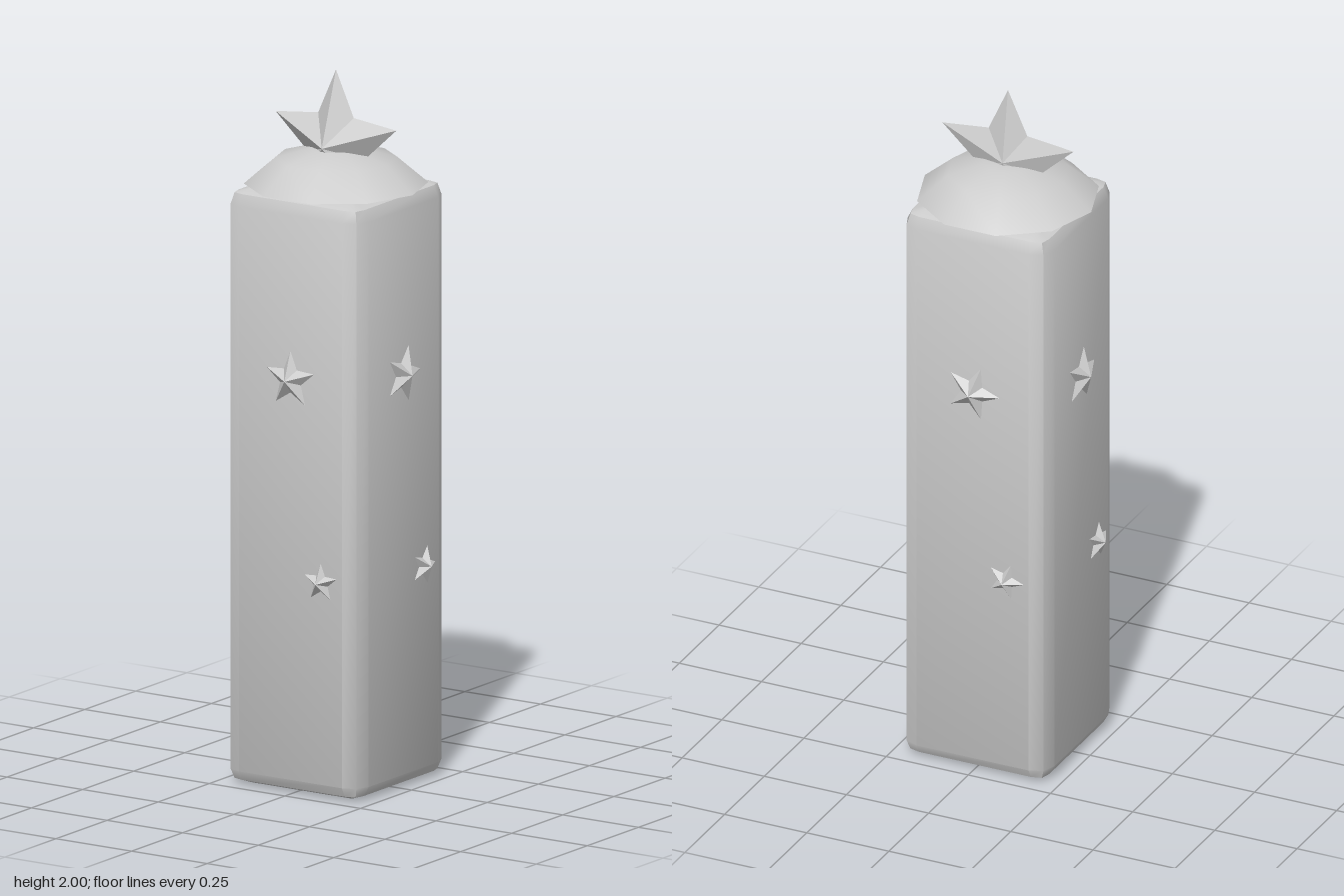
import * as THREE from 'three';
import { toCreasedNormals } from 'three/addons/utils/BufferGeometryUtils.js';

const stone = new THREE.MeshStandardMaterial({ color: 0xcccccc });
stone.name = 'pale grey';

function build(positions, indices) {
  const geo = new THREE.BufferGeometry();
  geo.setAttribute('position', new THREE.Float32BufferAttribute(positions, 3));
  geo.setIndex(indices);
  return geo;
}

// Square pillar lofted through softened cross-sections
function pillarGeometry() {
  // height, corner, face centre distance, face half width
  const rings = [
    [0, 0.17, 0.172, 0.16],
    [0.013, 0.2, 0.208, 0.17],
    [0.04, 0.208, 0.223, 0.17],
    [1.635, 0.208, 0.223, 0.17],
    [1.667, 0.2, 0.208, 0.17],
    [1.68, 0.17, 0.172, 0.16],
  ];
  const pos = [], idx = [], n = 12;
  for (const [y, c, m, e] of rings) {
    for (let side = 0; side < 4; side++) {
      const a = side * Math.PI / 2, s = Math.sin(a), k = Math.cos(a);
      for (const [x, z] of [[-e, m], [e, m], [c, c]]) pos.push(x * k + z * s, y, z * k - x * s);
    }
  }
  for (let r = 0; r < rings.length - 1; r++) {
    for (let i = 0; i < n; i++) {
      const a = r * n + i, b = r * n + (i + 1) % n;
      idx.push(a, b, b + n, a, b + n, a + n);
    }
  }
  // End caps
  const bottom = pos.length / 3, top = bottom + 1, last = (rings.length - 1) * n;
  pos.push(0, 0, 0, 0, 1.68, 0);
  for (let i = 0; i < n; i++) {
    const j = (i + 1) % n;
    idx.push(bottom, j, i, top, last + i, last + j);
  }
  return toCreasedNormals(build(pos, idx), 0.6);
}

// Faceted five-pointed star with raised centres front and back
function starGeometry(radius, inner, front, back) {
  const pos = [0, 0, front, 0, 0, -back], idx = [];
  for (let i = 0; i < 10; i++) {
    const a = Math.PI / 2 + i * Math.PI / 5, r = i % 2 ? inner : radius;
    pos.push(r * Math.cos(a), r * Math.sin(a), 0);
    const p = i + 2, q = (i + 1) % 10 + 2;
    idx.push(0, p, q, 1, q, p);
  }
  const geo = build(pos, idx).toNonIndexed();
  geo.computeVertexNormals();
  return geo;
}

export function createModel() {
  const model = new THREE.Group();
  model.name = 'starPillar';
  const add = (parent, name, geo, x = 0, y = 0, z = 0) => {
    const mesh = new THREE.Mesh(geo, stone);
    mesh.name = name;
    mesh.position.set(x, y, z);
    parent.add(mesh);
    return mesh;
  };

  add(model, 'pillar', pillarGeometry());

  // Ten-sided domed cap
  const profile = [[0, 1.68], [0.253, 1.68], [0.168, 1.752], [0.07, 1.779], [0, 1.786]]
    .map(([r, y]) => new THREE.Vector2(r, y));
  add(model, 'domeCap', toCreasedNormals(new THREE.LatheGeometry(profile, 10, Math.PI / 2), 0.7));

  // Star on top
  add(model, 'topStar', starGeometry(0.21, 0.1, 0.07, 0.035), 0, 1.79, 0);

  // Two small stars on each of the four faces
  const large = starGeometry(0.082, 0.036, 0.03, 0.015);
  const small = starGeometry(0.055, 0.024, 0.026, 0.012);
  const tilts = [0, -0.31, -0.31, -0.2];
  ['front', 'left', 'back', 'right'].forEach((side, i) => {
    const face = new THREE.Group();
    face.name = side + 'Stars';
    face.rotation.y = i * Math.PI / 2;
    add(face, 'upperStar', large, 0, 1.17, 0.223).rotation.z = tilts[i];
    add(face, 'lowerStar', small, 0.1, 0.61, 0.223).rotation.z = tilts[i];
    model.add(face);
  });
  return model;
}
